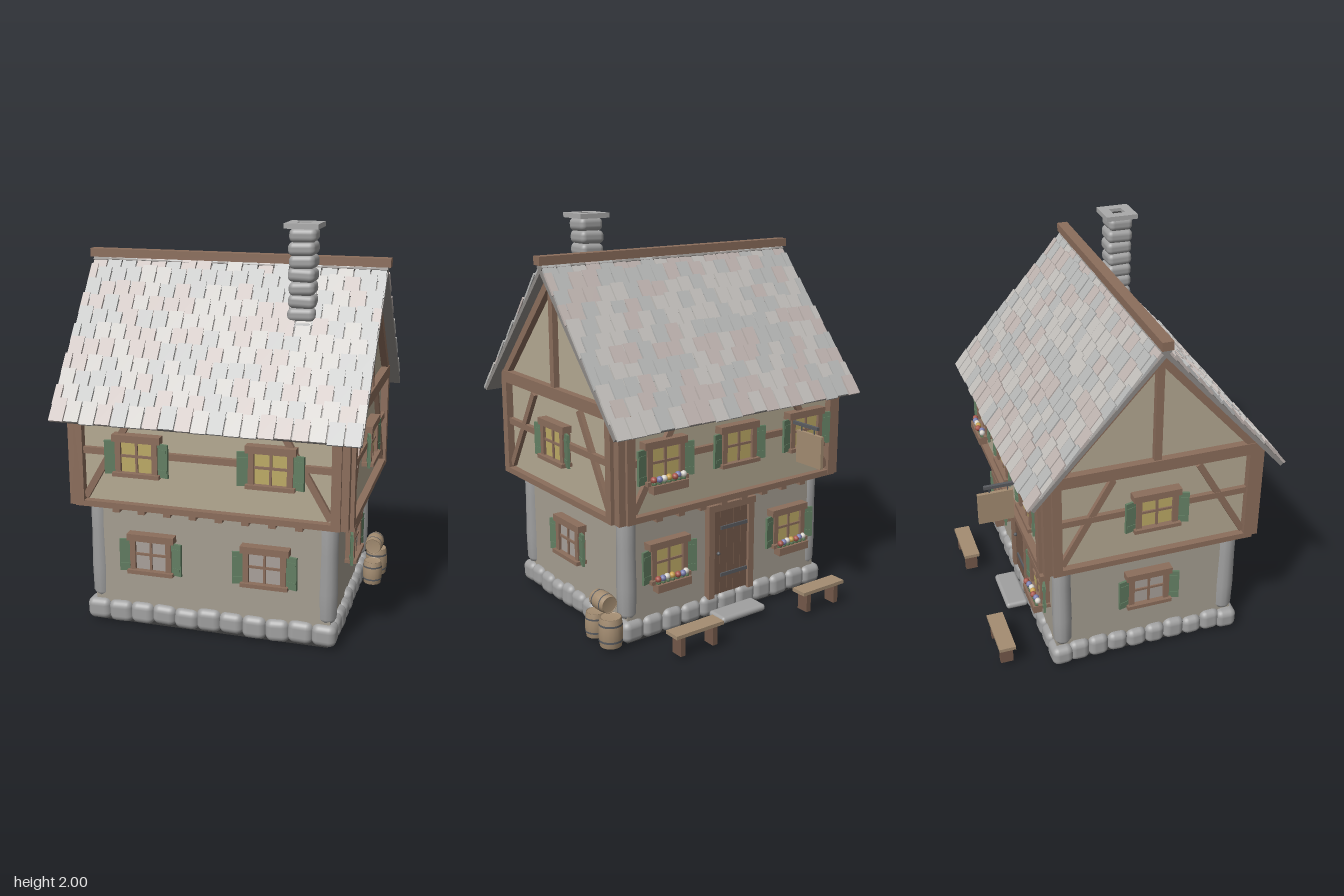
import * as THREE from 'three';
import { mergeGeometries } from 'three/addons/utils/BufferGeometryUtils.js';
import { RoundedBoxGeometry } from 'three/addons/geometries/RoundedBoxGeometry.js';

const mat = (color) => new THREE.MeshStandardMaterial({ color });
const M = {
  wood: mat(0x8c6e5c), darkWood: mat(0x74594a), paleWood: mat(0xa48d72), plaster: mat(0xb5aa93), lowPlaster: mat(0xa69f92),
  stone: mat(0xa0a0a0), cap: mat(0xaaaaaa), dark: mat(0x3c3c3c), iron: mat(0x5a5c60), shutter: mat(0x637f63),
  glow: mat(0xbdab66), glass: mat(0xa9a19b), underlay: mat(0x8e8a87), leaf: mat(0x55704f),
};
const SHINGLES = [mat(0xc2bfbb), mat(0xbfb4b0), mat(0xb6b7b6)];
const FLOWERS = [mat(0xa8574c), mat(0x7c80b0), mat(0xd8d4cc), mat(0xc9a24e)];
const HALF_PI = Math.PI / 2;

let seed = 7;
const rnd = () => (seed = (seed * 16807) % 2147483647) / 2147483647;
const jit = (a) => (rnd() - 0.5) * 2 * a;

function add(parent, name, geometry, material, x = 0, y = 0, z = 0) {
  const mesh = new THREE.Mesh(geometry, material);
  mesh.name = name;
  mesh.position.set(x, y, z);
  parent.add(mesh);
  return mesh;
}
const box = (p, name, m, w, h, d, x, y, z) => add(p, name, new THREE.BoxGeometry(w, h, d), m, x, y, z);
function group(parent, name, x = 0, y = 0, z = 0, ry = 0) {
  const g = new THREE.Group();
  g.name = name;
  g.position.set(x, y, z);
  g.rotation.y = ry;
  parent.add(g);
  return g;
}
// Timber between two points of a wall face
function beam(p, name, x1, y1, x2, y2, width, out) {
  const b = box(p, name, M.wood, Math.hypot(x2 - x1, y2 - y1), width, out + 0.015, (x1 + x2) / 2, (y1 + y2) / 2, (out - 0.015) / 2);
  b.rotation.z = Math.atan2(y2 - y1, x2 - x1);
}

// Window facing +z, y measured from the bottom of the pane
function addWindow(face, x, y, pane, flowers) {
  const g = group(face, 'window', x, y, 0);
  box(g, 'pane', pane, 0.17, 0.15, 0.04, 0, 0.075, 0.01);
  box(g, 'mullion', M.wood, 0.012, 0.15, 0.02, 0, 0.075, 0.028);
  box(g, 'glazingBar', M.wood, 0.17, 0.012, 0.02, 0, 0.08, 0.028);
  box(g, 'lintel', M.wood, 0.24, 0.035, 0.055, 0, 0.167, 0.022);
  box(g, 'sill', M.wood, 0.235, 0.02, 0.07, 0, -0.01, 0.025);
  for (const s of [-1, 1]) {
    box(g, 'jamb', M.wood, 0.028, 0.15, 0.05, s * 0.092, 0.075, 0.02);
    const hinge = group(g, 'shutterHinge', s * 0.107, 0.07, 0.03);
    hinge.rotation.y = -s * 0.25;
    box(hinge, 'shutter', M.shutter, 0.055, 0.165, 0.012, s * 0.027, 0, 0);
    for (const h of [-0.05, 0.05]) box(hinge, 'shutterBatten', M.shutter, 0.045, 0.014, 0.018, s * 0.027, h, 0);
  }
  if (!flowers) return;
  box(g, 'flowerBox', M.wood, 0.2, 0.04, 0.045, 0, -0.035, 0.062);
  for (let i = 0; i < 7; i++) {
    add(g, 'leaves', new THREE.SphereGeometry(0.014, 6, 4), M.leaf, -0.084 + i * 0.028, -0.012, 0.062);
    add(g, 'flower', new THREE.SphereGeometry(0.016, 8, 6), FLOWERS[i % 4], -0.084 + i * 0.028, 0.008, 0.064 + jit(0.008));
  }
}

// Half-timbering of one upper wall
function addTimbers(face, half) {
  for (const s of [-1, 1]) {
    beam(face, 'cornerTimber', s * half, 0.645, s * half, 1.16, 0.045, 0.037);
    beam(face, 'brace', s * (half - 0.025), 0.69, s * (half - 0.275), 1.12, 0.032, 0.022);
  }
  beam(face, 'bottomTimber', -half, 0.66, half, 0.66, 0.03, 0.036);
  beam(face, 'middleTimber', -half, 0.927, half, 0.927, 0.032, 0.024);
}

// One roof slope with overlapping shingles, built along local +z
function addRoofSlope(house, ry) {
  const slope = group(group(house, 'roofHalf', 0, 1.795, 0, ry), 'roofSlope');
  slope.rotation.x = Math.atan2(0.71, 0.64);
  box(slope, 'roofBoard', M.underlay, 1.5, 0.02, 0.945, 0, -0.024, 0.472);
  const parts = [[], [], []];
  const rows = 11, cols = 19, pitch = 0.945 / rows, w = 1.5 / cols;
  for (let r = 0; r < rows; r++) {
    const odd = r % 2;
    for (let c = 0; c < cols + odd; c++) {
      const x0 = Math.max(-0.755, -0.75 + (c - odd / 2) * w), x1 = Math.min(0.755, -0.75 + (c + 1 - odd / 2) * w);
      const len = pitch * 1.3 + jit(0.01);
      const g = new THREE.BoxGeometry(x1 - x0 - 0.007, 0.012, len);
      g.rotateX(0.07);
      g.translate((x0 + x1) / 2, -0.004 + jit(0.002), r * pitch + pitch * 1.1 - len / 2 + jit(0.005));
      parts[Math.floor(rnd() * 3)].push(g);
    }
  }
  parts.forEach((list, i) => add(slope, 'shingles', mergeGeometries(list), SHINGLES[i]));
}

// Stone row between two points
function stoneRow(house, x1, z1, x2, z2, n) {
  const step = Math.hypot(x2 - x1, z2 - z1) / n, alongX = z1 === z2;
  for (let i = 0; i < n; i++) {
    const t = (i + 0.5) / n, h = 0.112 + jit(0.008), l = step * (1.04 + jit(0.06));
    const s = add(house, 'foundationStone', new RoundedBoxGeometry(alongX ? l : 0.11, h, alongX ? 0.11 : l, 3, 0.035), M.stone,
      x1 + (x2 - x1) * t, 0.07 + jit(0.005), z1 + (z2 - z1) * t);
    s.rotation.set(jit(0.04), jit(0.04), jit(0.05));
  }
}

function addBarrel(parent, x, y, z, h, r) {
  const g = group(parent, 'barrel', x, y, z);
  const prof = [[0, -0.46], [0.82, -0.46], [0.82, -0.5], [0.88, -0.5], [0.98, -0.2], [1, 0], [0.98, 0.2], [0.88, 0.5], [0.82, 0.5], [0.82, 0.46], [0, 0.46]];
  add(g, 'barrelBody', new THREE.LatheGeometry(prof.map(([a, b]) => new THREE.Vector2(a * r, b * h)), 16), M.paleWood);
  for (const s of [-1, 1]) add(g, 'barrelHoop', new THREE.CylinderGeometry(r * 0.985, r * 0.985, h * 0.07, 16, 1, true), M.iron, 0, s * h * 0.28, 0);
  return g;
}

export function createModel() {
  const root = new THREE.Group();
  root.name = 'cottage';
  const house = group(root, 'house', 0, 0, 0.07);

  // Foundation
  box(house, 'floorSlab', M.dark, 1.18, 0.12, 0.92, 0, 0.06, 0);
  for (const s of [-1, 1]) {
    stoneRow(house, -0.64, s * 0.45, 0.63, s * 0.45, 11);
    stoneRow(house, s * 0.58, -0.41, s * 0.58, 0.41, 8);
  }

  // Ground storey with round corner pillars
  box(house, 'lowerWalls', M.lowPlaster, 1.2, 0.55, 0.95, 0, 0.375, 0);
  const pillar = [[0, 0], [0.036, 0], [0.047, 0.02], [0.05, 0.15], [0.047, 0.35], [0.048, 0.49], [0.036, 0.51], [0, 0.51]];
  for (const sx of [-1, 1]) for (const sz of [-1, 1]) {
    add(house, 'cornerPillar', new THREE.LatheGeometry(pillar.map((p) => new THREE.Vector2(...p)), 12), M.stone, sx * 0.578, 0.135, sz * 0.438);
    box(house, 'cornerPost', M.wood, 0.06, 0.515, 0.06, sx * 0.658, 0.9, sz * 0.52);
  }

  // Upper storey and gables as one extruded pentagon
  const outline = new THREE.Shape([[-0.53, 0.645], [0.53, 0.645], [0.53, 1.155], [0, 1.745], [-0.53, 1.155]].map((p) => new THREE.Vector2(...p)));
  const upper = new THREE.ExtrudeGeometry(outline, { depth: 1.34, bevelEnabled: false });
  upper.translate(0, 0, -0.67);
  upper.rotateY(HALF_PI);
  add(house, 'upperWalls', upper, M.plaster);
  for (const s of [-1, 1]) for (let i = 0; i < 8; i++) box(house, 'joistEnd', M.wood, 0.036, 0.03, 0.1, -0.455 + i * 0.13, 0.632, s * 0.49);

  // Wall faces: front, back, then the two gable sides
  for (const back of [false, true]) {
    const ry = back ? Math.PI : 0, s = back ? -1 : 1;
    const low = group(house, 'lowerFace', 0, 0, s * 0.475, ry), high = group(house, 'upperFace', 0, 0, s * 0.53, ry);
    addTimbers(high, 0.63);
    if (back) {
      for (const x of [-0.38, 0.39]) addWindow(low, x, 0.32, M.glow, true);
      for (const x of [-0.44, 0, 0.44]) addWindow(high, x, 0.84, M.glow, x < 0);
      // Plank door with iron straps
      const door = group(low, 'door', 0.01, 0, 0);
      for (let i = -2; i <= 2; i++) box(door, 'doorPlank', M.darkWood, 0.042, 0.45, 0.03, i * 0.044, 0.355, 0.005);
      for (const e of [-1, 1]) box(door, 'doorPost', M.wood, 0.035, 0.47, 0.05, e * 0.127, 0.355, 0.01);
      box(door, 'doorLintel', M.wood, 0.3, 0.035, 0.06, 0, 0.595, 0.01);
      for (const y of [0.23, 0.48]) box(door, 'hingeStrap', M.iron, 0.17, 0.018, 0.012, 0.022, y, 0.022);
      add(door, 'doorKnob', new THREE.SphereGeometry(0.01, 8, 6), M.iron, -0.08, 0.35, 0.028);
    } else {
      for (const x of [-0.29, 0.285]) addWindow(low, x, 0.32, M.glass);
      for (const x of [-0.33, 0.325]) addWindow(high, x, 0.84, M.glow);
    }
  }
  for (const s of [-1, 1]) {
    addWindow(group(house, 'lowerSide', s * 0.6, 0, 0, s * HALF_PI), 0, 0.32, M.glass);
    const high = group(house, 'gableSide', s * 0.67, 0, 0, s * HALF_PI);
    addTimbers(high, 0.488);
    addWindow(high, 0, 0.84, M.glow);
    beam(high, 'gableTie', -0.51, 1.165, 0.51, 1.165, 0.06, 0.038);
    beam(high, 'kingPost', 0, 1.19, 0, 1.7, 0.036, 0.03);
    for (const e of [-1, 1]) beam(high, 'rafter', e * 0.5, 1.165, e * 0.005, 1.71, 0.04, 0.034);
  }

  // Roof
  addRoofSlope(house, 0);
  addRoofSlope(house, Math.PI);
  box(house, 'ridgeBeam', M.wood, 1.53, 0.042, 0.055, 0, 1.805, 0);

  // Chimney of stacked stones under a pierced cap
  const chimney = group(house, 'chimney', 0.38, 0, 0.175);
  for (let i = 0; i < 8; i++) {
    const c = add(chimney, 'chimneyStone', new RoundedBoxGeometry(0.132 + jit(0.006), 0.066, 0.132 + jit(0.006), 3, 0.026), M.stone, jit(0.003), 1.51 + i * 0.062, jit(0.003));
    c.rotation.set(jit(0.04), jit(0.06), jit(0.04));
  }
  const square = (r) => [[-r, -r], [r, -r], [r, r], [-r, r]].map((p) => new THREE.Vector2(...p));
  const capShape = new THREE.Shape(square(0.082));
  capShape.holes.push(new THREE.Path(square(0.032)));
  const cap = new THREE.ExtrudeGeometry(capShape, { depth: 0.024, bevelEnabled: false });
  cap.rotateX(-HALF_PI);
  add(chimney, 'chimneyCap', cap, M.cap, 0, 1.976, 0);
  box(chimney, 'flue', M.dark, 0.064, 0.02, 0.064, 0, 1.974, 0);

  // Doorstep and benches
  add(root, 'doorstep', new RoundedBoxGeometry(0.28, 0.036, 0.12, 3, 0.017), M.stone, -0.01, 0.042, -0.49);
  for (const x of [-0.418, 0.38]) {
    const bench = group(root, 'bench', x, 0, -0.647);
    box(bench, 'benchSeat', M.paleWood, 0.277, 0.018, 0.085, 0, 0.126, 0);
    for (const e of [-1, 1]) box(bench, 'benchLeg', M.darkWood, 0.028, 0.1, 0.065, e * 0.095, 0.069, 0);
  }

  // Hanging board on its bracket
  const sign = group(root, 'hangingSign', -0.35, 0, 0);
  box(sign, 'signBoard', M.paleWood, 0.018, 0.165, 0.175, 0, 0.862, -0.622);
  box(sign, 'signBracket', M.iron, 0.016, 0.016, 0.2, 0, 0.977, -0.577);
  for (const z of [-0.56, -0.65]) box(sign, 'signHanger', M.iron, 0.005, 0.035, 0.005, 0, 0.956, z);

  // Barrels by the wall
  addBarrel(root, 0.68, 0.08, -0.245, 0.125, 0.052);
  addBarrel(root, 0.68, 0.092, -0.38, 0.145, 0.06);
  addBarrel(root, 0.677, 0.218, -0.312, 0.115, 0.048).rotation.x = HALF_PI;

  return root;
}
